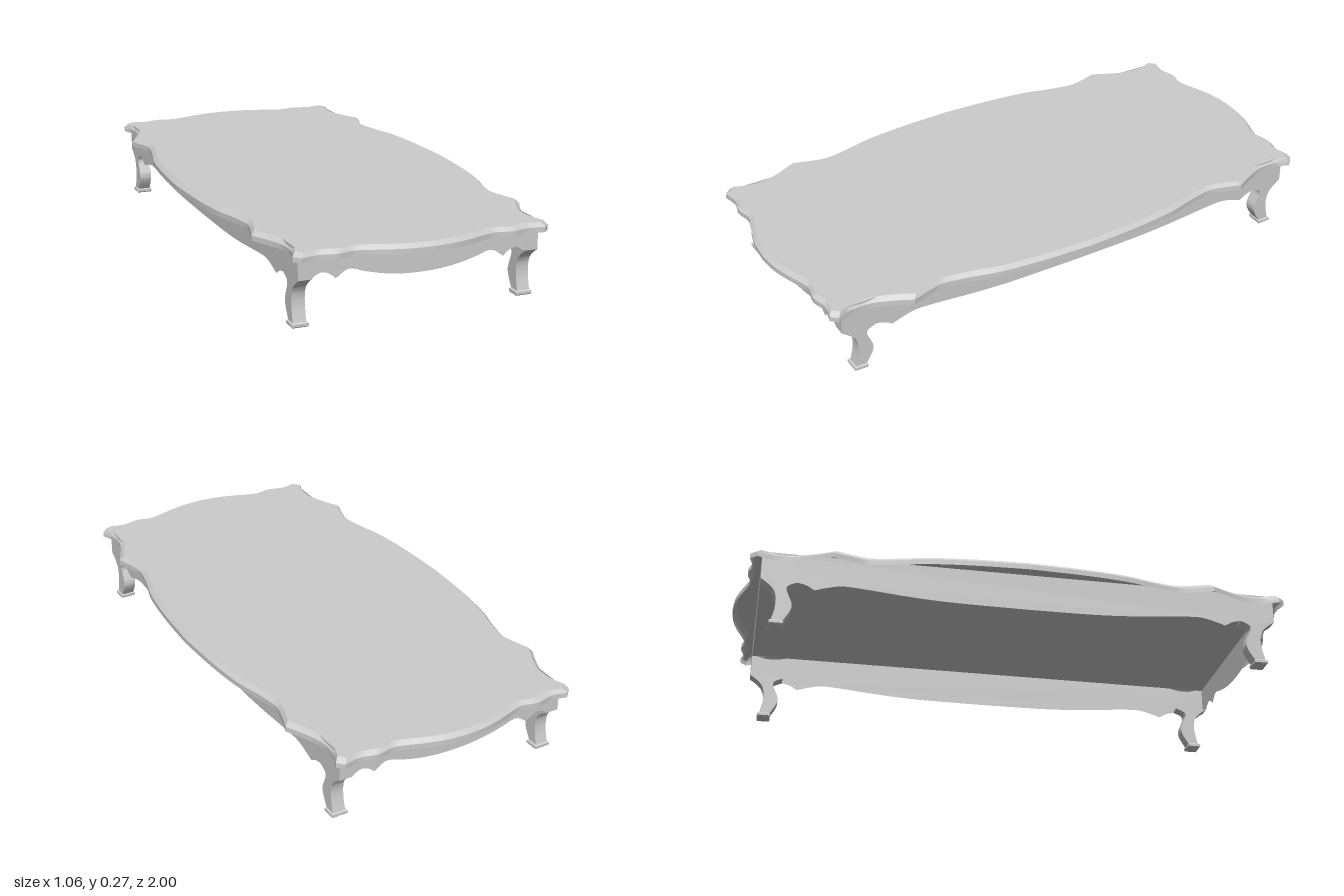
import * as THREE from 'three';
import { toCreasedNormals } from 'three/addons/utils/BufferGeometryUtils.js';

const material = new THREE.MeshStandardMaterial({ color: 0xcccccc, side: THREE.DoubleSide });
const TOP_Y = 0.272, EDGE_Y = 0.258, UNDER_Y = 0.24; // tabletop levels
const FRAME_X = 0.427, FRAME_Z = 0.914; // apron frame

const vec = (list) => list.map(([x, y]) => new THREE.Vector2(x, y));

// Smooth curve through a few points
const spline = (list, perSpan = 4) =>
  new THREE.SplineCurve(vec(list)).getPoints((list.length - 1) * perSpan);

// Joins runs of points, dropping repeats where they meet
function join(...runs) {
  const out = [];
  for (const p of runs.flat()) {
    if (!out.length || out[out.length - 1].distanceTo(p) > 1e-5) out.push(p);
  }
  if (out[0].distanceTo(out[out.length - 1]) < 1e-5) out.pop();
  return out;
}

// Reflected copy of a run, in reverse order
const mirror = (run, sx, sy) => run.map((p) => new THREE.Vector2(p.x * sx, p.y * sy)).reverse();

function mesh(name, geometry, crease = 0.6) {
  const m = new THREE.Mesh(toCreasedNormals(geometry, crease), material);
  m.name = name;
  return m;
}

// Serpentine top: a thin sheet with a chamfered, turned-down rim, open below
function tabletop() {
  const quarter = join(
    spline([[0, 1], [0.08, 0.993], [0.15, 0.975], [0.2, 0.958], [0.25, 0.946],
      [0.31, 0.957], [0.37, 0.944], [0.43, 0.955]]),
    spline([[0.452, 0.932], [0.434, 0.88], [0.434, 0.81], [0.459, 0.74], [0.491, 0.675]]),
    spline([[0.491, 0.675], [0.468, 0.6], [0.46, 0.545], [0.478, 0.45],
      [0.503, 0.35], [0.521, 0.19], [0.53, 0]])
  );
  const half = join(quarter, mirror(quarter, 1, -1));
  const outer = join(half, mirror(half, -1, 1));
  const inner = outer.map((p) => new THREE.Vector2(p.x * 0.972, p.y * 0.986));

  // Rim: three rings joined by quads
  const positions = [], index = [], n = outer.length;
  for (const [ring, y] of [[outer, UNDER_Y], [outer, EDGE_Y], [inner, TOP_Y]]) {
    for (const p of ring) positions.push(p.x, y, p.y);
  }
  for (let r = 0; r < 2; r++) {
    for (let i = 0; i < n; i++) {
      const a = r * n + i, b = r * n + (i + 1) % n;
      index.push(a, b, b + n, a, b + n, a + n);
    }
  }
  const rim = new THREE.BufferGeometry();
  rim.setAttribute('position', new THREE.Float32BufferAttribute(positions, 3));
  rim.setIndex(index);

  const sheet = new THREE.ShapeGeometry(new THREE.Shape(inner));
  sheet.rotateX(-Math.PI / 2);
  sheet.translate(0, TOP_Y, 0);

  const group = new THREE.Group();
  group.name = 'tabletop';
  group.add(mesh('topSheet', sheet), mesh('topRim', rim, 0.5));
  return group;
}

// Thin scalloped panel; the lower edge is given from the middle to one end
function apron(name, halfLength, lowerEdge) {
  const half = join(lowerEdge, vec([[halfLength, 0.17], [halfLength, TOP_Y]]));
  const shape = new THREE.Shape(join(mirror(half, -1, 1), half));
  return mesh(name, new THREE.ShapeGeometry(shape));
}

// Curved leg, drawn as a side profile and given an even width
function leg() {
  const group = new THREE.Group();
  const profile = join(
    spline([[FRAME_Z, 0.17], [0.89, 0.153], [0.868, 0.13], [0.859, 0.1],
      [0.861, 0.06], [0.872, 0.014]]),
    spline([[0.833, 0.014], [0.811, 0.05], [0.804, 0.078], [0.815, 0.11],
      [0.824, 0.132], [0.82, 0.15], [0.79, 0.164]]),
    vec([[0.79, 0.17]])
  );
  const shaft = new THREE.ExtrudeGeometry(new THREE.Shape(profile), { depth: 0.046, bevelEnabled: false });
  // Profile lies in z-y; turn it so that its depth runs along x
  shaft.rotateY(-Math.PI / 2);
  shaft.translate(FRAME_X, 0, 0);
  group.add(mesh('legShaft', shaft, 0.7));

  // Foot pad with chamfered upper and lower edges
  const b = 0.004;
  const pad = new THREE.ExtrudeGeometry(
    new THREE.Shape(vec([[0.378, 0.833], [0.429, 0.833], [0.429, 0.874], [0.378, 0.874]])),
    { depth: 0.017 - 2 * b, bevelSize: b, bevelThickness: b, bevelSegments: 1 }
  );
  pad.rotateX(Math.PI / 2);
  pad.translate(0, 0.017 - b, 0);
  group.add(mesh('foot', pad, 0.3));
  return group;
}

export function createModel() {
  const model = new THREE.Group();
  model.name = 'coffeeTable';
  model.add(tabletop());

  // End aprons
  const endEdge = join(
    spline([[0, 0.147], [0.06, 0.149], [0.13, 0.158], [0.2, 0.175], [0.235, 0.187], [0.262, 0.187], [0.298, 0.163]]),
    spline([[0.298, 0.163], [0.32, 0.181], [0.345, 0.189], [0.367, 0.182], [0.382, 0.17]])
  );
  // Long side aprons
  const sideEdge = join(
    spline([[0, 0.136], [0.2, 0.1375], [0.3, 0.14], [0.4, 0.146], [0.5, 0.155], [0.58, 0.162], [0.64, 0.164], [0.69, 0.153], [0.73, 0.14]]),
    spline([[0.73, 0.14], [0.76, 0.157], [0.79, 0.164], [0.82, 0.168], [0.85, 0.17]])
  );
  for (const s of [1, -1]) {
    const turn = s > 0 ? 0 : Math.PI;
    const end = apron(s > 0 ? 'frontApron' : 'backApron', FRAME_X, endEdge);
    end.rotation.y = turn;
    end.position.z = s * FRAME_Z;
    const side = apron(s > 0 ? 'leftApron' : 'rightApron', FRAME_Z, sideEdge);
    side.rotation.y = turn + Math.PI / 2;
    side.position.x = s * FRAME_X;
    model.add(end, side);
  }

  // Four legs, mirrored to the corners
  for (const sx of [1, -1]) {
    for (const sz of [1, -1]) {
      const l = leg();
      l.name = (sz > 0 ? 'front' : 'back') + (sx > 0 ? 'Left' : 'Right') + 'Leg';
      l.scale.set(sx, 1, sz);
      model.add(l);
    }
  }
  return model;
}
